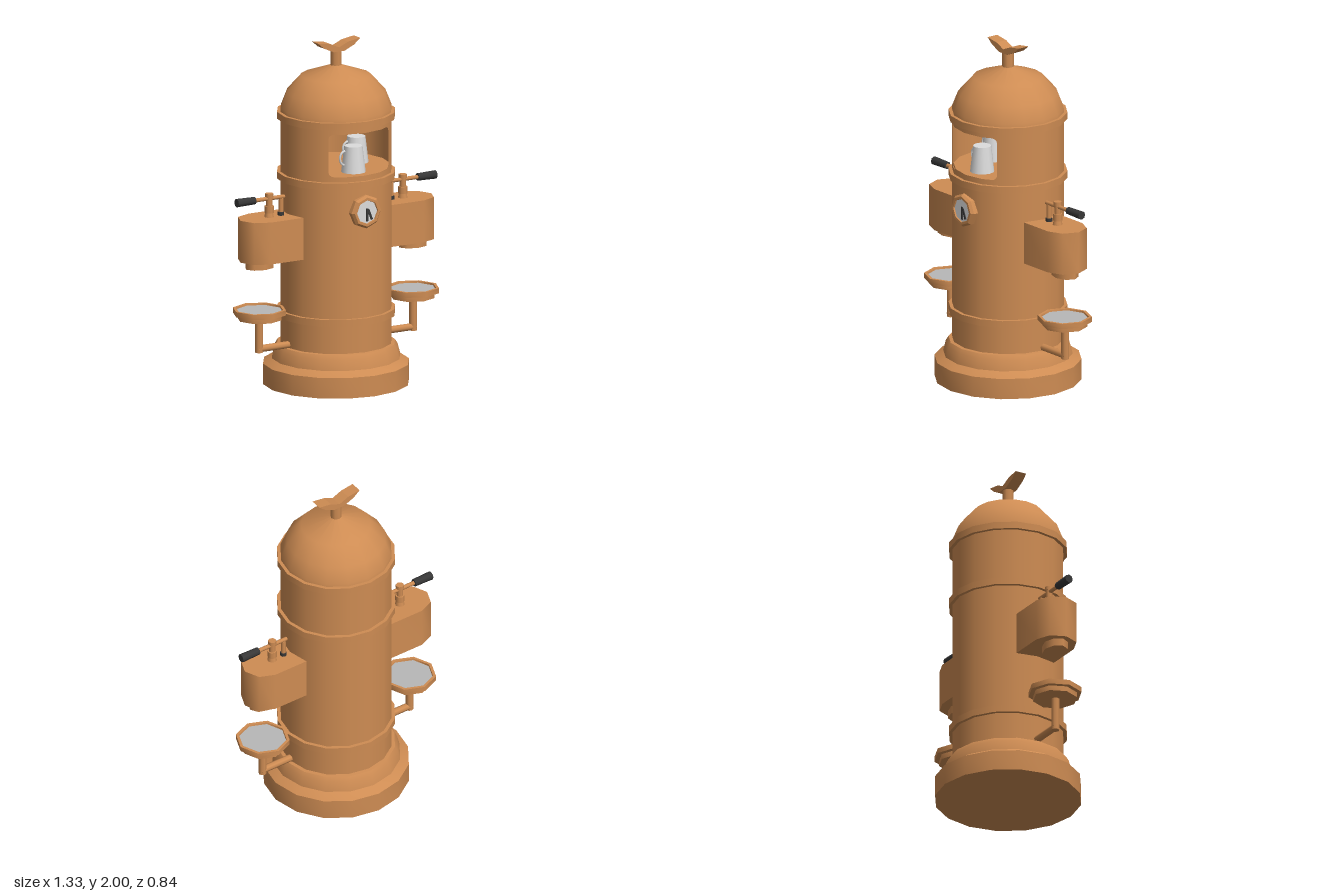
import * as THREE from 'three';
import { toCreasedNormals } from 'three/addons/utils/BufferGeometryUtils.js';

const mat = (name, color, side = THREE.FrontSide) => {
  const m = new THREE.MeshStandardMaterial({ color, side });
  m.name = name;
  return m;
};

export function createModel() {
  const copper = mat('copper', 0xce8c53, THREE.DoubleSide);
  const porcelain = mat('porcelain', 0xdcdcdc);
  const steel = mat('steel', 0xb8b8b8);
  const black = mat('black', 0x383838);

  const model = new THREE.Group();
  model.name = 'espressoMachine';

  const add = (parent, name, geometry, material, x = 0, y = 0, z = 0) => {
    const mesh = new THREE.Mesh(geometry, material);
    mesh.name = name;
    mesh.position.set(x, y, z);
    parent.add(mesh);
    return mesh;
  };
  // upright cylinder given by its bottom and top heights
  const post = (parent, name, material, rBottom, rTop, y0, y1, sides, x = 0, z = 0) =>
    add(parent, name, new THREE.CylinderGeometry(rTop, rBottom, y1 - y0, sides), material, x, (y0 + y1) / 2, z);
  const lathe = (points, sides) =>
    new THREE.LatheGeometry(points.map(([r, y]) => new THREE.Vector2(r, y)), sides);

  // stepped base
  const basePoints = [[0, 0], [0.42, 0], [0.42, 0.12], [0.37, 0.15], [0.355, 0.21], [0.34, 0.235], [0.3, 0.24]];
  add(model, 'base', toCreasedNormals(lathe(basePoints, 16), 0.6), copper);

  // boiler body with an open section for the window
  const R = 0.32, Y0 = 1.22, Y1 = 1.57;
  post(model, 'boiler', copper, R, R, 0.2, Y0, 16);
  add(model, 'upperWall', new THREE.CylinderGeometry(R, R, Y1 - Y0, 12, 1, true, Math.PI / 4, Math.PI * 1.5),
    copper, 0, (Y0 + Y1) / 2, 0);
  add(model, 'windowWall', windowWall(R, Y0, Y1), copper);
  post(model, 'cupShelf', copper, 0.31, 0.31, 1.25, 1.268, 16);

  // raised bands
  for (const y of [0.4, 1.2, 1.55]) post(model, 'band', copper, 0.34, 0.34, y, y + 0.04, 16);

  // dome and finial
  const domePoints = [[0.32, 1.56], [0.32, 1.61], [0.285, 1.7], [0.2, 1.795], [0, 1.865]];
  add(model, 'dome', lathe(domePoints, 16), copper);
  post(model, 'finialPost', copper, 0.033, 0.033, 1.85, 1.95, 8);
  const wings = new THREE.Shape();
  [[-0.14, 2], [-0.1, 1.966], [-0.035, 1.937], [0.035, 1.937], [0.1, 1.966], [0.14, 2],
    [0.06, 1.988], [0, 1.962], [-0.06, 1.988]].forEach(([x, y], i) => (i ? wings.lineTo(x, y) : wings.moveTo(x, y)));
  add(model, 'finialWings', new THREE.ExtrudeGeometry(wings, { depth: 0.07, bevelEnabled: false }), copper, 0, 0, -0.035);

  // upturned cups behind the window
  for (const [x, z] of [[0, 0.19], [-0.135, 0], [0.135, 0]]) {
    const cup = new THREE.Group();
    cup.name = 'cup';
    cup.position.set(x, 1.268, z);
    post(cup, 'cupBody', porcelain, 0.07, 0.052, 0, 0.152, 12);
    const handle = add(cup, 'cupHandle', new THREE.TorusGeometry(0.04, 0.008, 5, 10, Math.PI), porcelain, -0.058, 0.085, 0);
    handle.rotation.z = Math.PI / 2;
    handle.scale.y = 0.8;
    model.add(cup);
  }

  // pressure gauge
  const gauge = new THREE.Group();
  gauge.name = 'gauge';
  gauge.position.set(0, 1.062, 0.3);
  gauge.rotation.x = Math.PI / 2;
  const rim = [[0.098, 0], [0.098, 0.03], [0.085, 0.045], [0.07, 0.045], [0.068, 0.034]];
  add(gauge, 'gaugeRim', toCreasedNormals(lathe(rim, 8), 0.5), copper);
  post(gauge, 'gaugeFace', porcelain, 0.071, 0.071, 0.03, 0.036, 8);
  model.add(gauge);
  for (const [x, tilt, length] of [[0, 0, 0.075], [0.02, 0.38, 0.065]]) {
    const hand = add(model, 'gaugeHand', new THREE.BoxGeometry(0.013, length, 0.005), black, x, 1.045, 0.339);
    hand.rotation.z = tilt;
  }

  // brewing sides, the second turned to face the other way
  for (const angle of [0, Math.PI]) {
    const side = new THREE.Group();
    side.name = angle ? 'rightBrewer' : 'leftBrewer';
    side.rotation.y = angle;
    model.add(side);

    // brew head with a rounded outer end
    const plan = new THREE.Shape();
    plan.moveTo(0.29, -0.125);
    for (let i = -2; i <= 2; i++) {
      const a = i * Math.PI / 4;
      plan.lineTo(0.51 + 0.125 * Math.cos(a), 0.125 * Math.sin(a));
    }
    plan.lineTo(0.29, 0.125);
    const head = new THREE.ExtrudeGeometry(plan, { depth: 0.245, bevelEnabled: false }).rotateX(-Math.PI / 2);
    add(side, 'brewHead', toCreasedNormals(head, 0.9), copper, 0, 0.775, 0);
    post(side, 'spout', copper, 0.09, 0.09, 0.73, 0.78, 8, 0.51).scale.z = 0.74;

    // valve, lever and grip
    post(side, 'valveBase', copper, 0.028, 0.022, 1.02, 1.05, 8, 0.445);
    post(side, 'valveCollar', copper, 0.027, 0.027, 1.045, 1.085, 8, 0.445);
    post(side, 'valveStem', copper, 0.019, 0.019, 1.08, 1.14, 8, 0.445);
    post(side, 'valveCap', copper, 0.024, 0.024, 1.135, 1.157, 8, 0.445);
    post(side, 'linkFoot', black, 0.019, 0.019, 1.02, 1.04, 8, 0.367);
    post(side, 'linkRod', copper, 0.014, 0.014, 1.04, 1.12, 8, 0.385 - 0.018);
    const lever = new THREE.CylinderGeometry(0.012, 0.012, 0.2, 8).rotateZ(Math.PI / 2);
    add(side, 'lever', lever, copper, 0.445, 1.127, 0);
    const grip = new THREE.CylinderGeometry(0.025, 0.022, 0.12, 8).rotateZ(-Math.PI / 2);
    add(side, 'grip', grip, black, 0.602, 1.127, 0);

    // drip tray on its bracket
    const tray = [[0, 0.43], [0.128, 0.43], [0.128, 0.46], [0.155, 0.46], [0.155, 0.49], [0.138, 0.49], [0.135, 0.475]];
    add(side, 'dripTray', toCreasedNormals(lathe(tray, 8), 0.9), copper, 0.51, 0, 0);
    post(side, 'trayPlate', steel, 0.137, 0.137, 0.474, 0.48, 8, 0.51);
    post(side, 'trayPost', copper, 0.023, 0.023, 0.235, 0.435, 8, 0.513);
    const arm = new THREE.CylinderGeometry(0.021, 0.021, 0.225, 8).rotateZ(Math.PI / 2);
    add(side, 'trayArm', arm, copper, 0.4125, 0.256, 0);
  }
  return model;
}

// front two facets each side of the wall, in columns around a round-cornered opening
function windowWall(R, y0, y1) {
  const half = 0.2, corner = 0.03, low = 1.27, high = 1.52;
  const xa = R * Math.sin(Math.PI / 8), za = R * Math.cos(Math.PI / 8), xb = R * Math.SQRT1_2;
  const zAt = (x) => {
    const a = Math.abs(x);
    return a < xa ? R + (za - R) * a / xa : za + (xb - za) * (a - xa) / (xb - xa);
  };
  const inset = (x) => {
    const d = Math.max(0, Math.abs(x) - half + corner);
    return corner - Math.sqrt(Math.max(0, corner * corner - d * d));
  };
  const right = [xa, 0.17, 0.182, 0.191, 0.197, half, xb];
  const xs = [...right.map((x) => -x).reverse(), 0, ...right];
  const pos = [], nor = [];
  const quad = (xl, xr, bl, br, tl, tr) => {
    for (const [x, y] of [[xl, bl], [xr, br], [xr, tr], [xl, bl], [xr, tr], [xl, tl]]) {
      const z = zAt(x), n = Math.hypot(x, z);
      pos.push(x, y, z);
      nor.push(x / n, 0, z / n);
    }
  };
  for (let i = 0; i < xs.length - 1; i++) {
    const l = xs[i], r = xs[i + 1];
    if (Math.abs(l + r) / 2 > half) quad(l, r, y0, y0, y1, y1);
    else {
      quad(l, r, y0, y0, low + inset(l), low + inset(r));
      quad(l, r, high - inset(l), high - inset(r), y1, y1);
    }
  }
  const g = new THREE.BufferGeometry();
  g.setAttribute('position', new THREE.Float32BufferAttribute(pos, 3));
  g.setAttribute('normal', new THREE.Float32BufferAttribute(nor, 3));
  return g;
}
